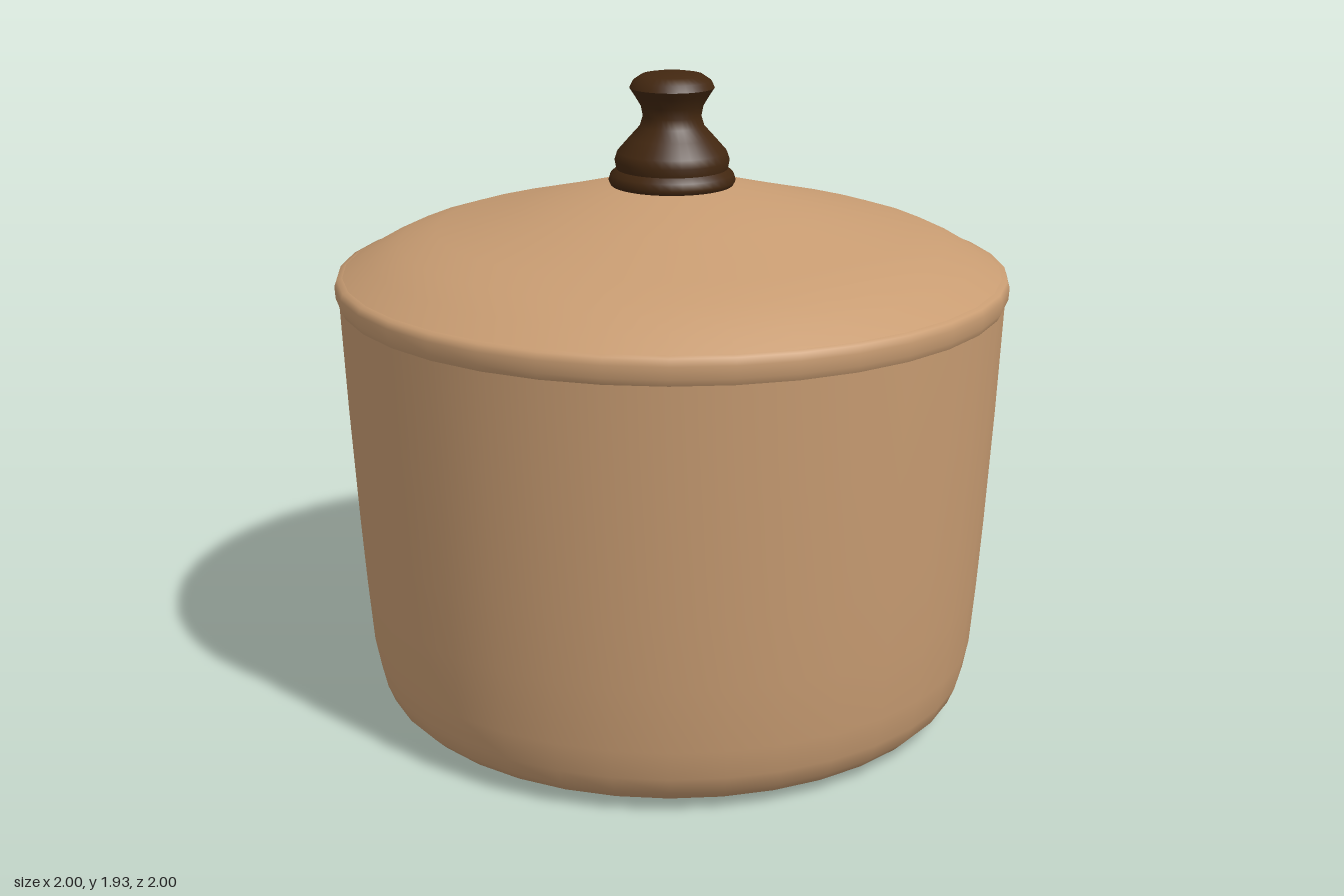
import * as THREE from 'three';

const clay = new THREE.MeshStandardMaterial({ color: 0xc89c72 });
clay.name = 'tan clay';
const wood = new THREE.MeshStandardMaterial({ color: 0x422710 });
wood.name = 'dark wood';

// Turned part: profile of [radius, height] pairs, bottom to top
function turned(name, profile, material, segments = 36) {
  const points = profile.map(([r, y]) => new THREE.Vector2(r, y));
  const mesh = new THREE.Mesh(new THREE.LatheGeometry(points, segments), material);
  mesh.name = name;
  return mesh;
}

export function createModel() {
  const model = new THREE.Group();
  model.name = 'lidded pot';

  // Flat base
  model.add(turned('potBase', [[0, 0], [0.79, 0.015]], clay));

  // Tapered wall with a rounded lower edge
  model.add(turned('potWall', [
    [0.79, 0.015], [0.855, 0.035], [0.89, 0.07], [0.91, 0.12], [0.927, 0.21],
    [0.942, 0.4], [0.955, 0.6], [0.974, 0.95], [0.988, 1.275],
  ], clay));

  // Rim band
  model.add(turned('potRim', [
    [0.988, 1.275], [0.998, 1.295], [1, 1.33], [0.993, 1.35], [0.972, 1.355],
  ], clay));

  // Domed lid
  model.add(turned('lid', [
    [0.978, 1.353], [0.9, 1.4], [0.81, 1.443], [0.7, 1.477],
    [0.45, 1.538], [0.2, 1.602], [0, 1.605],
  ], clay));

  // Knob: collar, then a waisted body with a flared cap
  const knob = new THREE.Group();
  knob.name = 'knob';
  knob.add(turned('knobCollar', [
    [0, 1.6], [0.18, 1.6], [0.188, 1.615], [0.182, 1.635], [0.165, 1.65],
  ], wood));
  knob.add(turned('knobBody', [
    [0.165, 1.65], [0.17, 1.675], [0.162, 1.7], [0.125, 1.742], [0.095, 1.775],
    [0.086, 1.805], [0.092, 1.835], [0.11, 1.865], [0.125, 1.888],
  ], wood));
  knob.add(turned('knobCap', [
    [0.125, 1.888], [0.115, 1.908], [0.09, 1.925], [0.05, 1.932], [0, 1.934],
  ], wood));
  model.add(knob);

  return model;
}
